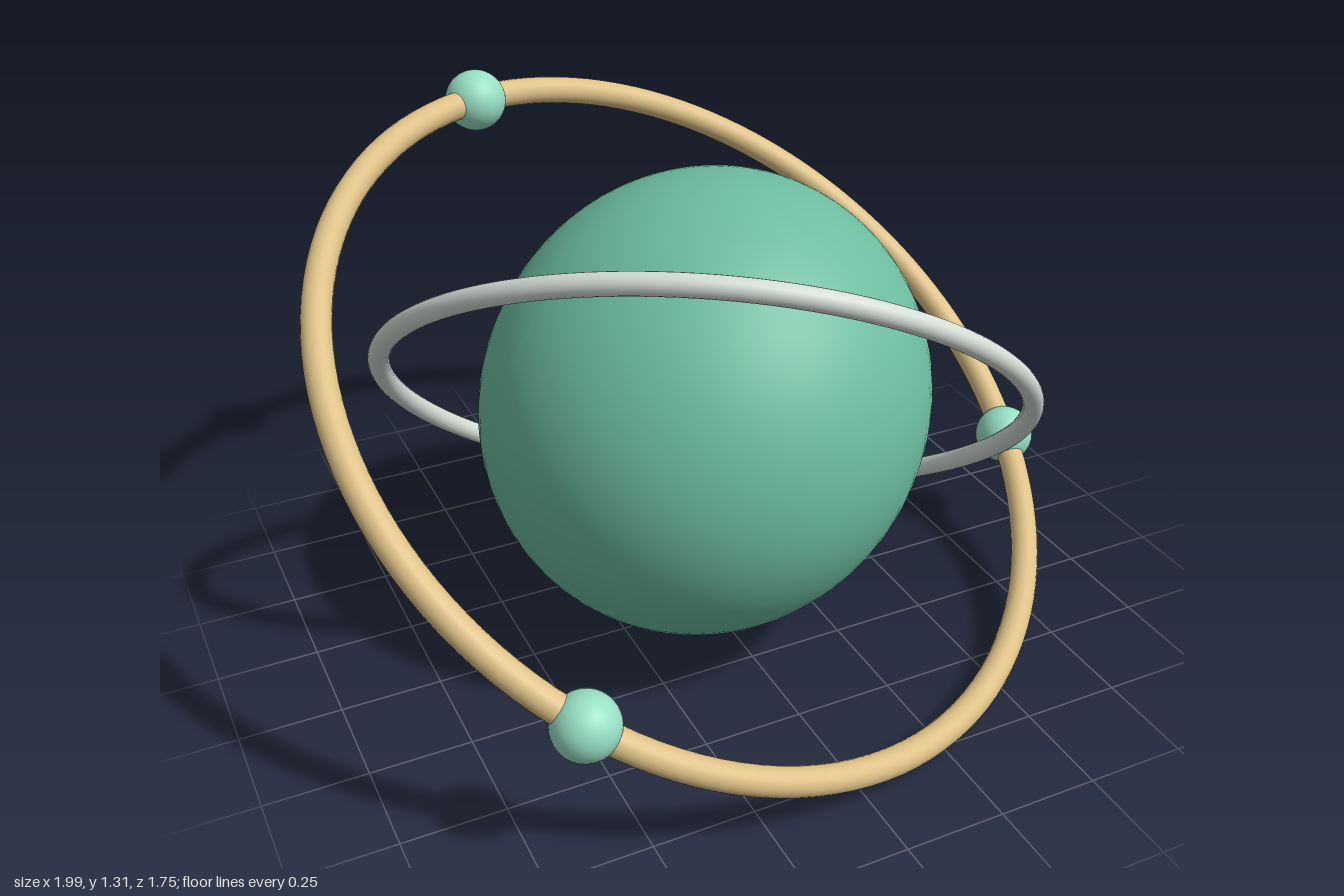
import * as THREE from 'three';

const mat = (color) => new THREE.MeshStandardMaterial({ color });
const UP = new THREE.Vector3(0, 1, 0);

// Torus lying in the local xz plane
function ring(name, radius, tube, color) {
  const geo = new THREE.TorusGeometry(radius, tube, 20, 128).rotateX(Math.PI / 2);
  const mesh = new THREE.Mesh(geo, mat(color));
  mesh.name = name;
  return mesh;
}

// Sphere pulled slightly out of round
function coreGeometry(radius) {
  const geo = new THREE.SphereGeometry(radius, 64, 48);
  const pos = geo.attributes.position;
  const v = new THREE.Vector3();
  for (let i = 0; i < pos.count; i++) {
    v.fromBufferAttribute(pos, i).normalize();
    v.multiplyScalar(radius * (1 + 0.085 * v.x * v.y - 0.05 * v.y * v.z));
    pos.setXYZ(i, v.x, v.y, v.z);
  }
  geo.computeVertexNormals();
  return geo;
}

export function createModel() {
  const model = new THREE.Group();
  model.name = 'ringedOrb';
  const body = new THREE.Group();
  body.name = 'orbAndRings';
  body.position.set(-0.015, 0.635, 0);
  model.add(body);

  // Central orb
  const core = new THREE.Mesh(coreGeometry(0.56), mat(0x6cbc9f));
  core.name = 'core';
  body.add(core);

  // Outer ring with three evenly spaced beads
  const orbit = new THREE.Group();
  orbit.name = 'outerOrbit';
  orbit.rotation.set(THREE.MathUtils.degToRad(32), 0, THREE.MathUtils.degToRad(-20), 'ZYX');
  const R = 0.99;
  orbit.add(ring('outerRing', R, 0.035, 0xdcbf85));
  const beadGeo = new THREE.SphereGeometry(0.078, 32, 24);
  const beadMat = mat(0x98dfc4);
  for (let i = 0; i < 3; i++) {
    const a = (i * Math.PI * 2) / 3;
    const bead = new THREE.Mesh(beadGeo, beadMat);
    bead.name = `bead${i + 1}`;
    bead.position.set(R * Math.cos(a), 0, R * Math.sin(a));
    orbit.add(bead);
  }
  body.add(orbit);

  // Thinner inner ring, tilted the other way
  const inner = ring('innerRing', 0.802, 0.026, 0xd3dcd5);
  inner.quaternion.setFromUnitVectors(UP, new THREE.Vector3(0.373, 0.698, -0.612).normalize());
  body.add(inner);

  return model;
}
